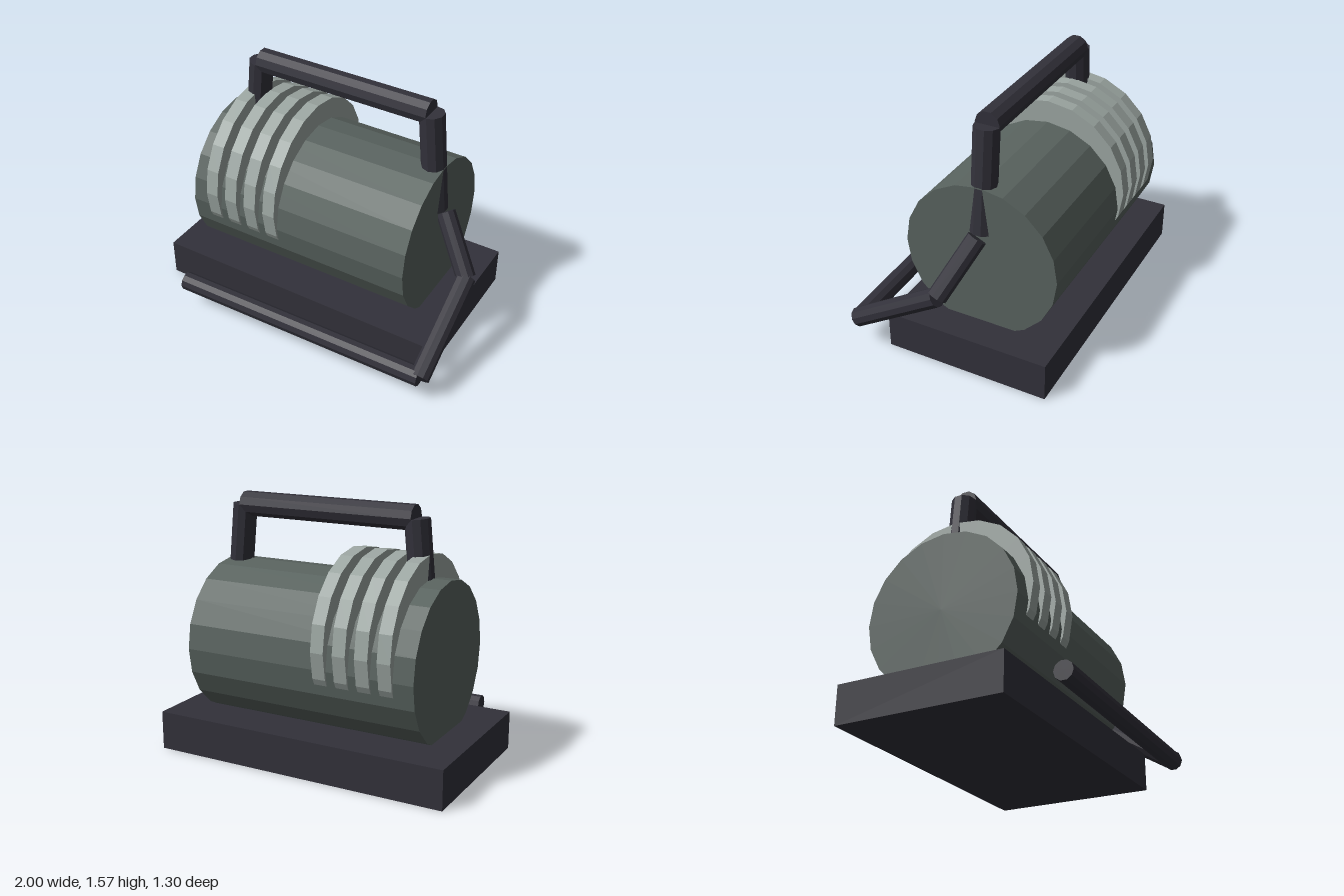
import * as THREE from 'three';

export function createModel() {
  const model = new THREE.Group();
  const mat = (name, color) => {
    const m = new THREE.MeshStandardMaterial({ color, flatShading: true });
    m.name = name;
    return m;
  };
  const dark = mat('dark frame', 0x32313a);
  const drumGrey = mat('drum grey', 0x59635f);
  const ribGrey = mat('rib light grey', 0x9ca6a2);

  // Straight cylinder between two points
  function rod(name, a, b, radius, sides, material) {
    const p = new THREE.Vector3(...a), q = new THREE.Vector3(...b);
    const dir = q.clone().sub(p);
    const mesh = new THREE.Mesh(new THREE.CylinderGeometry(radius, radius, dir.length(), sides), material);
    mesh.name = name;
    mesh.position.copy(p).add(q).multiplyScalar(0.5);
    mesh.quaternion.setFromUnitVectors(new THREE.Vector3(0, 1, 0), dir.normalize());
    model.add(mesh);
  }

  const midZ = -0.13;

  // Base block
  const base = new THREE.Mesh(new THREE.BoxGeometry(1.89, 0.24, 1.04), dark);
  base.name = 'base';
  base.position.set(-0.055, 0.12, midZ);
  model.add(base);

  // Main drum lying along x
  rod('drum', [-0.8, 0.667, midZ], [0.69, 0.667, midZ], 0.488, 20, drumGrey);

  // Raised ribs, set higher than the drum so they sink into it below
  for (let i = 0; i < 4; i++) {
    const x = -0.634 + i * 0.139;
    rod('rib' + (i + 1), [x - 0.041, 0.777, midZ], [x + 0.041, 0.777, midZ], 0.519, 20, ribGrey);
  }

  // Carrying handle with two splayed posts
  rod('handleBar', [-0.575, 1.497, midZ], [0.578, 1.497, midZ], 0.077, 10, dark);
  for (const s of [-1, 1]) {
    rod(s > 0 ? 'leftPost' : 'rightPost', [s * 0.583, 1.492, midZ], [s * 0.645, 0.85, midZ], 0.077, 10, dark);
  }

  // Bent arm running down the side and along the front
  const arm = [[0.715, 0.84, -0.13], [0.94, 0.53, 0.01], [0.94, 0.18, 0.575]];
  rod('upperArm', arm[0], arm[1], 0.06, 10, dark);
  rod('lowerArm', arm[1], arm[2], 0.06, 10, dark);
  rod('frontBar', [0.938, 0.18, 0.565], [-0.735, 0.18, 0.592], 0.059, 10, dark);

  return model;
}
